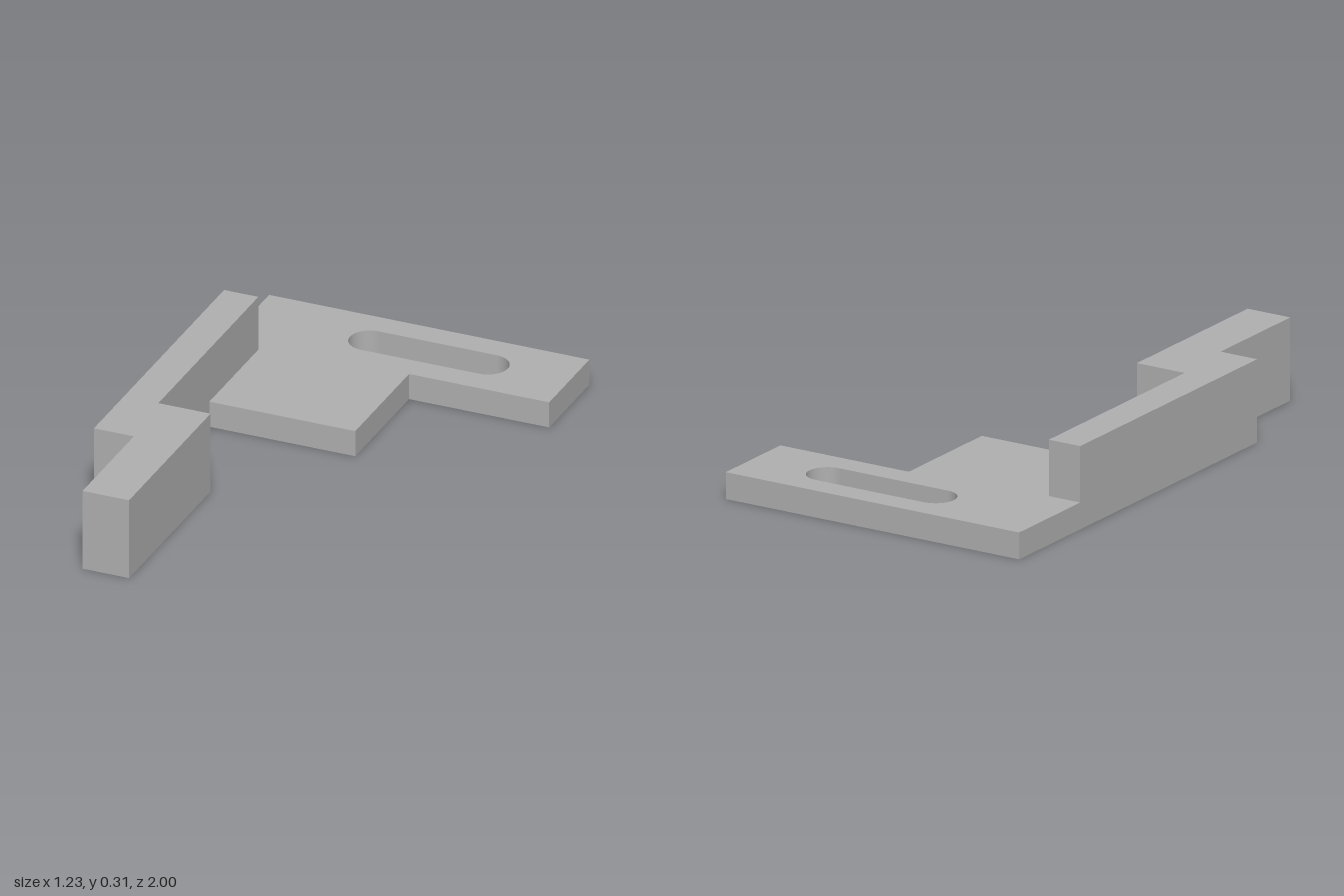
import * as THREE from 'three';

// Extrudes an outline of [x, z] points upward from y = 0.
function slab(name, points, height, material, holes = []) {
  const shape = new THREE.Shape(points.map(([x, z]) => new THREE.Vector2(x, -z)));
  shape.holes.push(...holes);
  const geometry = new THREE.ExtrudeGeometry(shape, {
    depth: height, bevelEnabled: false, curveSegments: 24,
  });
  geometry.rotateX(-Math.PI / 2);
  const mesh = new THREE.Mesh(geometry, material);
  mesh.name = name;
  return mesh;
}

// Round-ended slot running along x.
function slotHole(x0, x1, z, r) {
  const path = new THREE.Path();
  path.absarc(x1 - r, -z, r, -Math.PI / 2, Math.PI / 2, false);
  path.absarc(x0 + r, -z, r, Math.PI / 2, Math.PI * 1.5, false);
  path.closePath();
  return path;
}

export function createModel() {
  const group = new THREE.Group();
  group.name = 'slottedBracket';
  const grey = new THREE.MeshStandardMaterial({ color: 0xb0b0b0 });
  grey.name = 'grey';

  // Thin stepped plate, notched where the arm sits
  group.add(slab('mountingPlate', [
    [-0.617, -1], [0.617, -1], [0.617, -0.645], [0.077, -0.645],
    [0.077, -0.17], [-0.485, -0.17], [-0.485, -0.603], [-0.617, -0.603],
  ], 0.1, grey, [slotHole(-0.228, 0.38, -0.823, 0.077)]));

  // Tall arm with a sideways jog
  group.add(slab('joggedArm', [
    [-0.617, -0.603], [-0.485, -0.603], [-0.485, 0.28], [-0.284, 0.28],
    [-0.284, 1], [-0.463, 1], [-0.463, 0.547], [-0.617, 0.547],
  ], 0.31, grey));

  return group;
}
